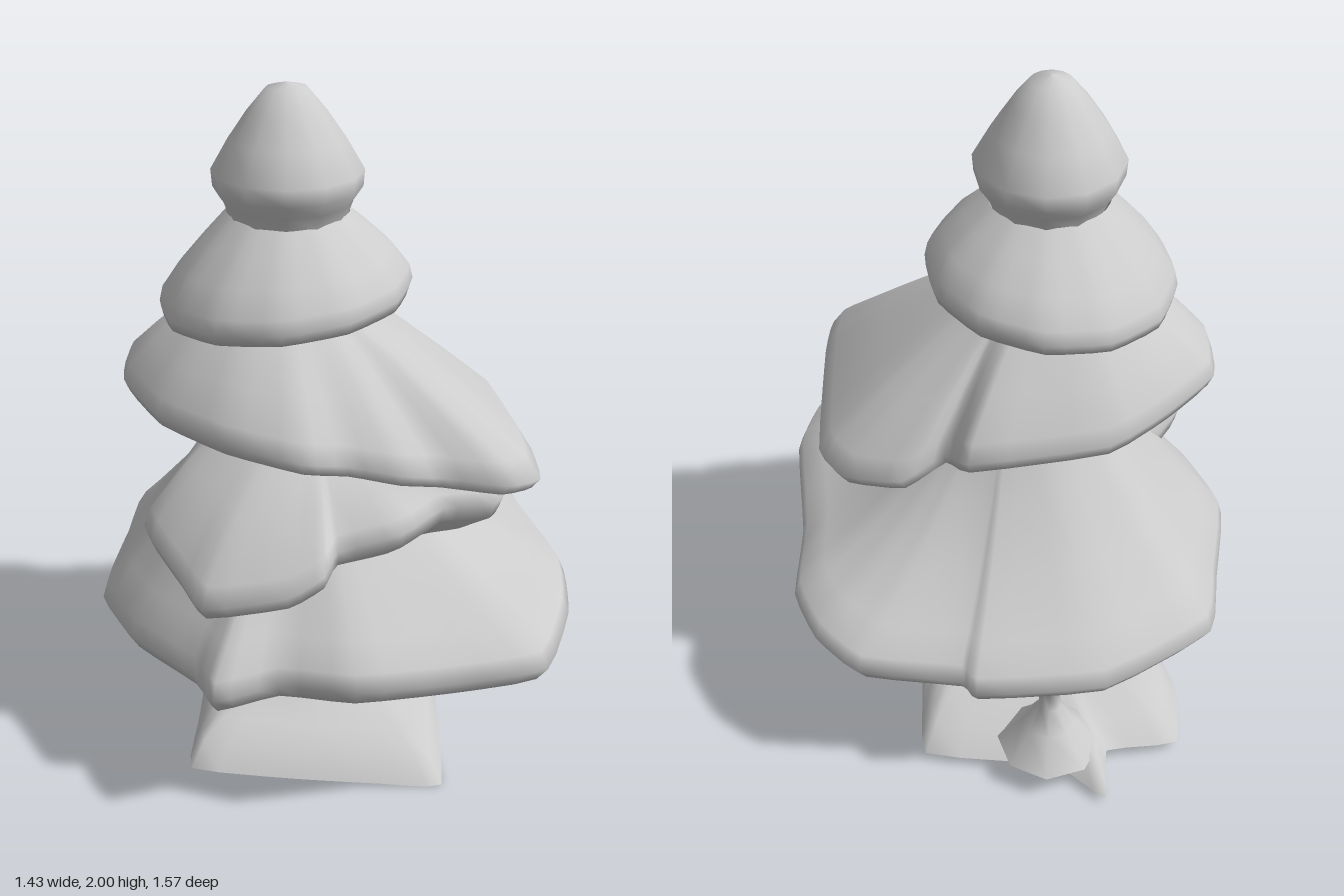
import * as THREE from 'three';

const grey = new THREE.MeshStandardMaterial({ color: 0xcccccc, side: THREE.DoubleSide });
grey.name = 'plain grey';

// Skin a stack of closed rings, listed from top to bottom
function loft(rings) {
  const n = rings[0].length, pos = [], index = [];
  rings.forEach(ring => ring.forEach(p => pos.push(p.x, p.y, p.z)));
  for (let i = 0; i < rings.length - 1; i++) {
    for (let j = 0; j < n; j++) {
      const k = (j + 1) % n, a = i * n + j, b = i * n + k;
      index.push(a, b, a + n, b, b + n, a + n);
    }
  }
  const geo = new THREE.BufferGeometry();
  geo.setAttribute('position', new THREE.Float32BufferAttribute(pos, 3));
  geo.setIndex(index);
  geo.computeVertexNormals();
  return geo;
}

// Ragged rim joined to a small upper circle and a small lower circle.
// Circles are [x, y, z, radius, tilt]; profiles are [distance towards rim, lift].
function skirt(name, rim, upper, over, lower, under) {
  const curve = new THREE.CatmullRomCurve3(
    rim.map(p => new THREE.Vector3(...p)), true, 'catmullrom', 0.2);
  const n = rim.length * 3;
  const edge = Array.from({ length: n }, (_, i) => curve.getPoint(i / n));
  const ring = ([x, y, z, r, tilt = 0], [t, lift]) => edge.map(p => {
    const a = Math.atan2(p.z - z, p.x - x), c = Math.cos(a);
    const q = new THREE.Vector3(x + r * c, y + tilt * c, z + r * Math.sin(a)).lerp(p, t);
    q.y += lift;
    return q;
  });
  const rings = [...over.map(s => ring(upper, s)), edge, ...under.map(s => ring(lower, s))];
  const mesh = new THREE.Mesh(loft(rings), grey);
  mesh.name = name;
  return mesh;
}

// Round part turned about a vertical axis
function turned(name, profile, sides, x, z, depth = 1) {
  const pts = profile.map(p => new THREE.Vector2(...p));
  const mesh = new THREE.Mesh(new THREE.LatheGeometry(pts, sides), grey);
  mesh.position.set(x, 0, z);
  mesh.scale.z = depth;
  mesh.name = name;
  return mesh;
}

export function createModel() {
  const tree = new THREE.Group();
  tree.name = 'tree';

  // Pointed tip
  tree.add(turned('treeTip', [[0.175, 1.62], [0.19, 1.66], [0.218, 1.7],
    [0.222, 1.75], [0.17, 1.84], [0.115, 1.92], [0.06, 1.985], [0, 2]], 12, -0.125, 0.045, 1.1));

  // Second tier, nearly round and tilted down on one side
  const round = Array.from({ length: 12 }, (_, i) => {
    const a = i / 12 * Math.PI * 2;
    return [-0.135 + 0.375 * Math.cos(a), 1.385 + 0.035 * Math.cos(a), 0.035 + 0.41 * Math.sin(a)];
  });
  tree.add(skirt('upperBranches', round,
    [-0.125, 1.63, 0.04, 0.18], [[0, 0], [0.35, 0.02], [0.7, 0.035], [0.95, 0.03]],
    [-0.16, 1.35, 0.03, 0.24], [[0.93, -0.03], [0.5, -0.01], [0, 0]]));

  // Third tier, sweeping down towards one side
  const waist = [-0.05, 0.95, 0, 0.28, -0.07];
  tree.add(skirt('middleBranches', [
    [0.595, 0.94, 0.2], [0.6, 0.93, 0.39], [0.5, 0.94, 0.46], [0.32, 0.96, 0.45],
    [0.2, 0.99, 0.5], [0.05, 1.02, 0.5], [-0.08, 1.05, 0.55], [-0.3, 1.08, 0.48],
    [-0.5, 1.1, 0.32], [-0.62, 1.12, 0.1], [-0.63, 1.12, -0.1], [-0.5, 1.1, -0.26],
    [-0.33, 1.07, -0.4], [0.07, 1.04, -0.475], [0.15, 0.99, -0.37], [0.27, 0.93, -0.43],
    [0.45, 0.9, -0.38], [0.54, 0.91, -0.27]],
    [-0.16, 1.35, 0.03, 0.24], [[0, 0], [0.3, 0.025], [0.6, 0.03], [0.92, 0.03]],
    waist, [[0.95, -0.03], [0.6, -0.01], [0, 0]]));

  // Partial lip at the front, rising to the corner of the tier above
  tree.add(skirt('frontLip', [
    [0.28, 0.86, 0.15], [0.5, 0.89, 0.36], [0.47, 0.87, 0.43], [0.32, 0.86, 0.44],
    [0.2, 0.84, 0.56], [0.02, 0.79, 0.57], [-0.02, 0.76, 0.66], [-0.12, 0.71, 0.69],
    [-0.36, 0.65, 0.65], [-0.44, 0.67, 0.5], [-0.56, 0.72, 0.27], [-0.47, 0.75, 0.05],
    [-0.36, 0.8, -0.1], [-0.2, 0.85, -0.25], [0.1, 0.85, -0.2], [0.22, 0.85, -0.02]],
    waist, [[0, 0], [0.5, 0.03], [0.92, 0.03]],
    [-0.05, 0.7, 0.03, 0.35], [[0.94, -0.04], [0.6, -0.05]]));

  // Wide bottom tier with a hollow underside
  tree.add(skirt('lowerBranches', [
    [0.715, 0.53, 0.2], [0.7, 0.51, 0.43], [0.61, 0.47, 0.67], [0.35, 0.46, 0.73],
    [0.07, 0.46, 0.78], [-0.15, 0.44, 0.71], [-0.33, 0.42, 0.76], [-0.4, 0.42, 0.62],
    [-0.6, 0.4, 0.38], [-0.72, 0.39, 0.13], [-0.69, 0.4, -0.2], [-0.66, 0.42, -0.46],
    [-0.35, 0.41, -0.7], [0.03, 0.42, -0.77], [0.08, 0.43, -0.73], [0.38, 0.45, -0.73],
    [0.52, 0.48, -0.63], [0.61, 0.5, -0.47], [0.63, 0.52, -0.2]],
    waist, [[0, 0], [0.2, -0.02], [0.5, -0.02], [0.8, 0.01], [0.96, 0.03]],
    [-0.06, 0.5, 0.02, 0.195], [[0.95, -0.05], [0.85, -0.045], [0.5, -0.02], [0, 0]]));

  // Flared trunk with a rounded foot
  tree.add(turned('trunk', [[0, 0.04], [0.12, 0.06], [0.2, 0.12], [0.235, 0.2],
    [0.215, 0.3], [0.195, 0.42], [0.195, 0.5]], 16, -0.055, 0.03));

  // Jagged mound around the foot, open below
  tree.add(skirt('ground', [
    [0.33, 0.08, -0.1], [0.33, 0.06, 0.25], [0.33, 0, 0.57], [0.15, 0.01, 0.58],
    [-0.1, 0.02, 0.57], [-0.42, 0.03, 0.53], [-0.42, 0.03, 0.3], [-0.42, 0.03, 0.05],
    [-0.57, 0.03, -0.3], [-0.58, 0.03, -0.56], [-0.36, 0.04, -0.62], [-0.36, 0.02, -0.79],
    [-0.2, 0.03, -0.68], [0.2, 0.03, -0.66], [0.24, 0.05, -0.4]],
    [-0.055, 0.22, 0.03, 0.23], [[0, 0], [0.25, -0.01], [0.6, 0.025], [0.85, 0.035]],
    [0, 0, 0, 0], []));

  // Flared strand between the mound and the lowest branches
  tree.add(turned('strand', [[0.16, 0.08], [0.08, 0.17], [0.035, 0.24], [0.03, 0.3],
    [0.06, 0.36], [0.12, 0.42]], 8, -0.18, -0.62));

  return tree;
}
